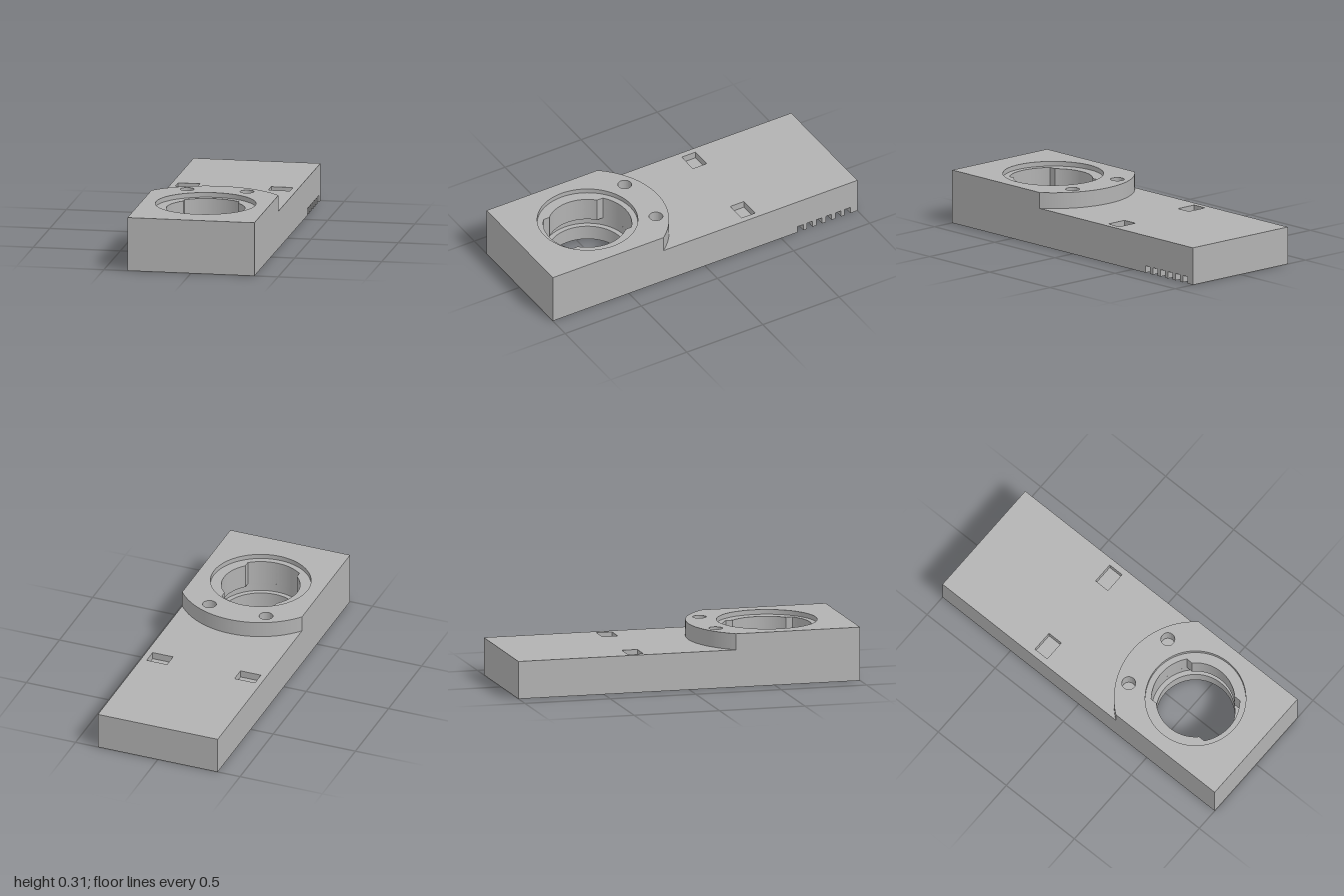
import * as THREE from 'three';
import { toCreasedNormals } from 'three/addons/utils/BufferGeometryUtils.js';

const W = 0.364, L = 1, WALL = 0.065;   // half width, half length, wall
const CZ = 0.555;                       // socket centre on z
const R_BORE = 0.222, R_GROOVE = 0.25, R_RIM = 0.284, R_PAD = 0.46;

// Shapes are drawn in plan: shape x = x, shape y = z
const polygon = (pts, Type = THREE.Shape) => new Type(pts.map(p => new THREE.Vector2(...p)));
const rect = (x0, z0, x1, z1, Type) => polygon([[x0, z0], [x1, z0], [x1, z1], [x0, z1]], Type);
const circle = (x, z, r, Type = THREE.Path) => {
  const c = new Type();
  c.absarc(x, z, r, 0, Math.PI * 2, false);
  return c;
};

// Bore with a wider bayonet notch at the front and the back
function notchedBore() {
  const a = Math.acos(0.157 / R_BORE), b = Math.acos(0.157 / R_GROOVE), PI = Math.PI;
  const p = new THREE.Path();
  p.absarc(0, CZ, R_BORE, -a, a, false);
  p.absarc(0, CZ, R_GROOVE, b, PI - b, false);
  p.absarc(0, CZ, R_BORE, PI - a, PI + a, false);
  p.absarc(0, CZ, R_GROOVE, PI + b, 2 * PI - b, false);
  p.closePath();
  return p;
}

// Raised pad outline: straight front and sides, round back edge
function padShape() {
  const end = Math.acos(W / R_PAD);
  const s = new THREE.Shape();
  s.moveTo(W, L);
  s.lineTo(-W, L);
  s.absarc(0, CZ, R_PAD, Math.PI + end, 2 * Math.PI - end, false);
  s.closePath();
  return s;
}

export function createModel() {
  const group = new THREE.Group();
  const grey = new THREE.MeshStandardMaterial({ color: 0xb2b2b2 });
  grey.name = 'grey';

  // Flat layer between two heights
  function layer(name, shape, holes, y0, y1) {
    shape.holes.push(...holes);
    let g = new THREE.ExtrudeGeometry(shape, { depth: y1 - y0, bevelEnabled: false, curveSegments: 48 });
    g.rotateX(Math.PI / 2).translate(0, y1, 0);
    g = toCreasedNormals(g, 0.5);
    const mesh = new THREE.Mesh(g, grey);
    mesh.name = name;
    group.add(mesh);
  }

  const body = () => rect(-W, -L, W, L);
  const bore = r => circle(0, CZ, r);
  const pockets = () => [-1, 1].map(s =>
    rect(s * 0.267 - 0.062, -0.35, s * 0.267 + 0.062, -0.26, THREE.Path));
  const pins = () => [-1, 1].map(s => circle(s * 0.172, 0.208, 0.039));

  // Lower rim, open along the vent on the left side
  const xi = W - WALL, zi = L - WALL, v0 = -0.607, step = 0.062, slot = 0.038;
  const v1 = v0 - 5 * step - slot;
  layer('lowerRim', polygon([
    [W, v0], [W, L], [-W, L], [-W, -L], [W, -L], [W, v1],
    [xi, v1], [xi, -zi], [-xi, -zi], [-xi, zi], [xi, zi], [xi, v0],
  ].map(([x, z]) => [x, x === xi && z === -zi ? Math.min(z, v1) : z])
    .filter(([x, z], i) => !(i === 6 && v1 < -zi))), [], 0, 0.04);

  // Teeth between the vent slots
  for (let i = 0; i < 5; i++) {
    const z = v0 - i * step - slot;
    layer('ventTooth', rect(xi, z - (step - slot), W, z), [], 0, 0.04);
  }

  // Upper rim and the socket ring hanging in the hollow underside
  layer('upperRim', body(), [rect(-xi, -zi, xi, zi, THREE.Path)], 0.04, 0.08);
  layer('socketRing', circle(0, CZ, R_RIM, THREE.Shape), [bore(R_BORE)], 0, 0.08);

  // Solid body: lower lip, locking groove, notched bore, pockets
  layer('bodyLip', body(), [bore(R_BORE)], 0.08, 0.09);
  layer('bodyGroove', body(), [bore(R_GROOVE)], 0.09, 0.14);
  layer('bodyMiddle', body(), [notchedBore()], 0.14, 0.175);
  layer('bodyTop', body(), [notchedBore(), ...pockets()], 0.175, 0.215);

  // Raised pad with pin holes and a shallow counterbore
  layer('padLower', padShape(), [notchedBore(), ...pins()], 0.215, 0.28);
  layer('padUpper', padShape(), [bore(R_RIM), ...pins()], 0.28, 0.307);

  return group;
}
